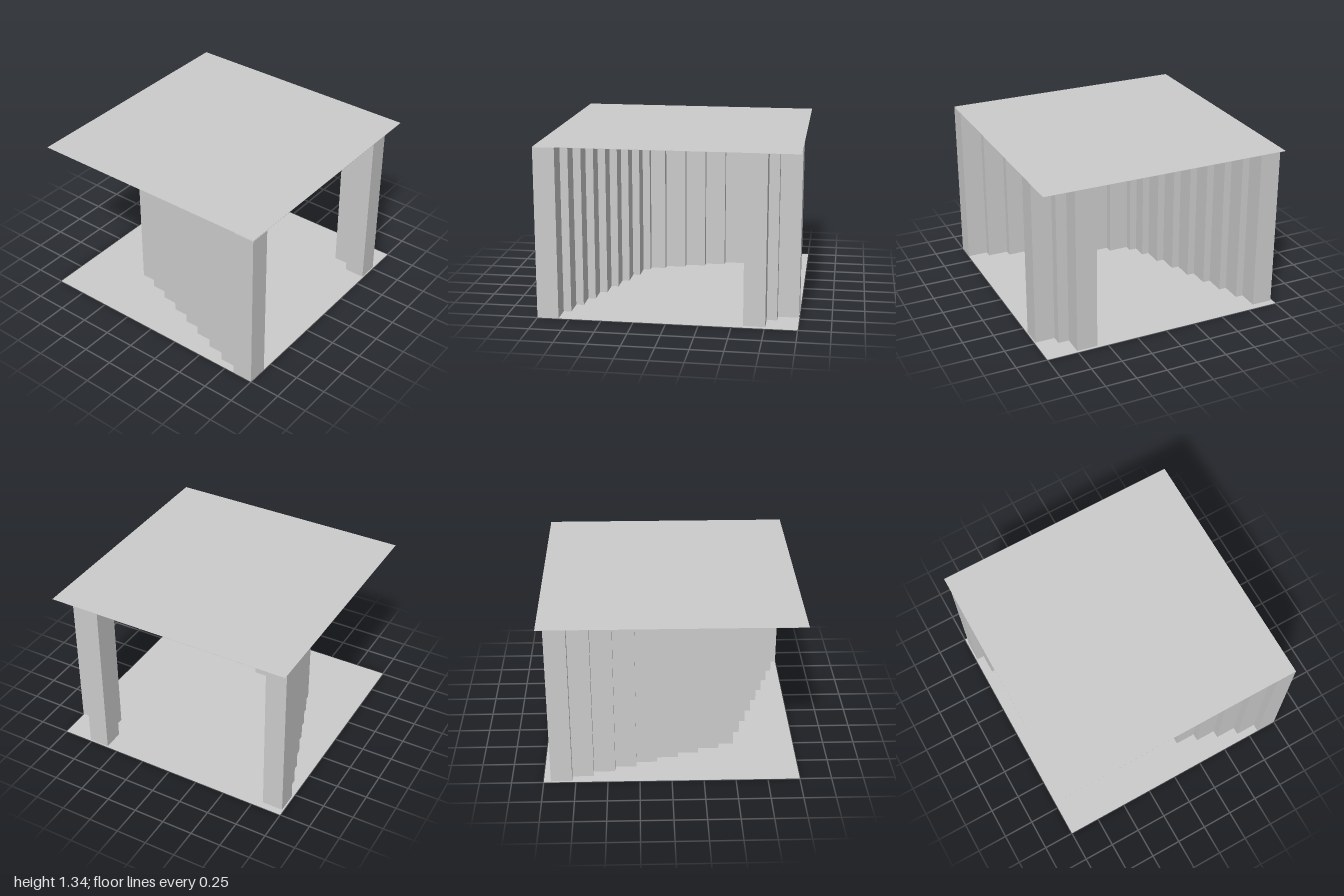
import * as THREE from 'three';

const S = 1 / 6;        // pillar side
const STEP = 0.061;     // sideways stagger between neighbouring pillars
const TOP = 1.343;

export function createModel() {
  const model = new THREE.Group();
  const mat = new THREE.MeshStandardMaterial({ color: 0xcccccc, flatShading: true });

  // Box given by its lower corner and size
  const addBox = (parent, name, [x, y, z], [w, h, d]) => {
    const mesh = new THREE.Mesh(new THREE.BoxGeometry(w, h, d), mat);
    mesh.position.set(x + w / 2, y + h / 2, z + d / 2);
    mesh.name = name;
    parent.add(mesh);
  };
  const addGroup = (name) => {
    const g = new THREE.Group();
    g.name = name;
    model.add(g);
    return g;
  };

  // Thin floor and roof slabs
  addBox(model, 'floor', [-1, 0, -1], [2, 0.002, 2]);
  addBox(model, 'roof', [-1, TOP - 0.002, -1], [2, 0.002, 2]);

  // Front wall: staggered pillars running from the front left corner
  const frontWall = addGroup('frontWall');
  for (let i = 0; i < 9; i++) {
    addBox(frontWall, 'frontPillar', [1 - (i + 1) * S, 0, 1 - S - i * STEP], [S, 1.337, S]);
  }

  // Side wall: staggered pillars running forward from the back right corner
  const sideWall = addGroup('sideWall');
  for (let i = 0; i < 8; i++) {
    addBox(sideWall, 'sidePillar', [-0.988 + i * STEP, 0, -0.945 + i * S], [S, 1.337, S]);
  }

  // Three pillars set diagonally across the back left corner
  const corner = addGroup('cornerPillars');
  for (const [x, z] of [[0.59, -1], [0.675, -0.836], [1 - S, -0.757]]) {
    addBox(corner, 'cornerPillar', [x, 0.014, z], [S, TOP - 0.014, S]);
  }

  return model;
}
